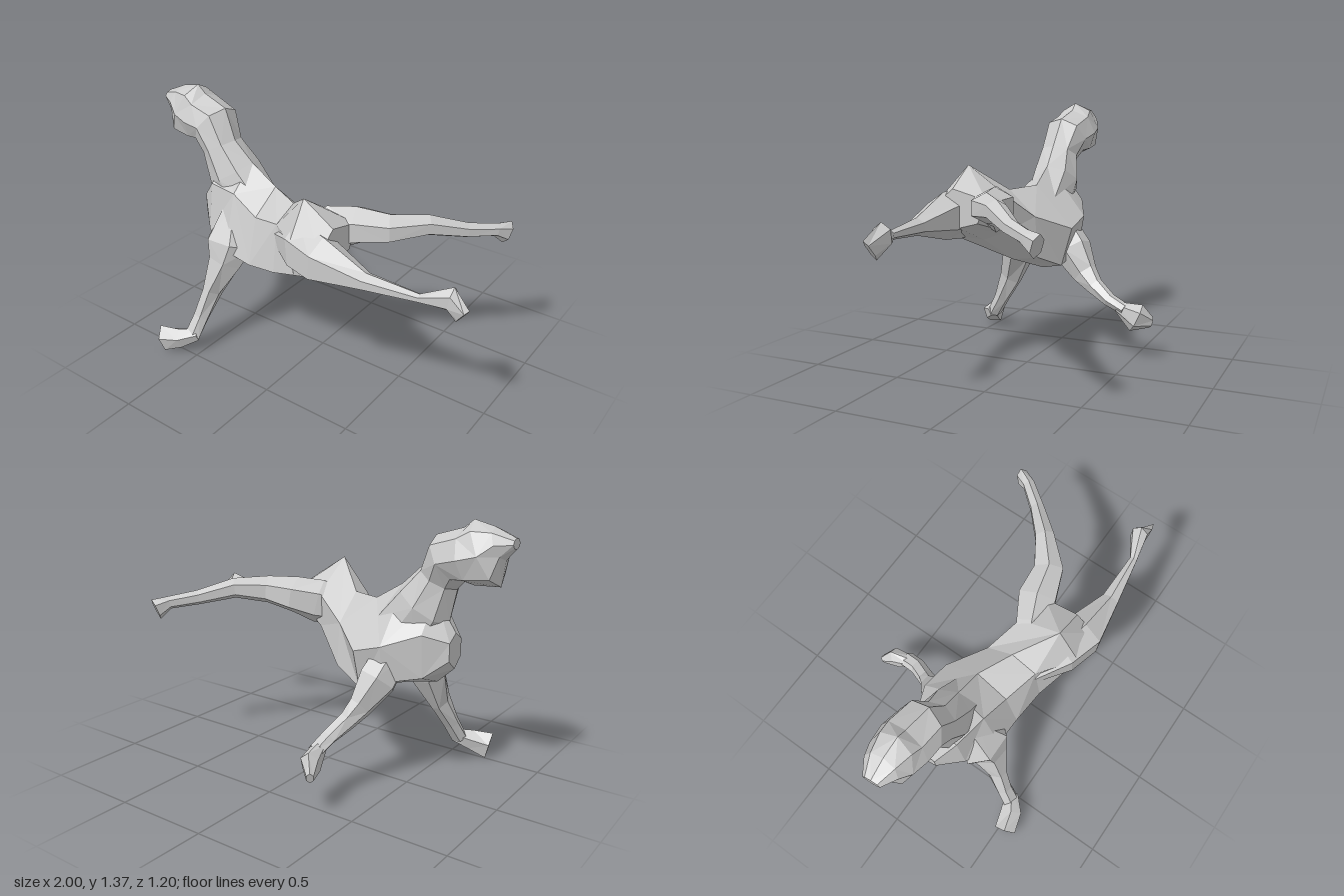
import * as THREE from 'three';

const material = new THREE.MeshStandardMaterial({ color: 0xcccccc, flatShading: true });

// Skin a list of closed rings (equal point counts) and cap both ends
function skin(name, rings) {
  const n = rings[0].length, pos = [];
  const tri = (a, b, c) => [a, b, c].forEach(p => pos.push(p.x, p.y, p.z));
  for (let r = 0; r < rings.length - 1; r++) {
    const A = rings[r], B = rings[r + 1];
    for (let i = 0; i < n; i++) {
      const j = (i + 1) % n;
      if ((i + r) % 2) {
        tri(A[i], A[j], B[j]);
        tri(A[i], B[j], B[i]);
      } else {
        tri(A[i], A[j], B[i]);
        tri(A[j], B[j], B[i]);
      }
    }
  }
  const first = rings[0], last = rings[rings.length - 1];
  for (let i = 1; i < n - 1; i++) {
    tri(first[0], first[i + 1], first[i]);
    tri(last[0], last[i], last[i + 1]);
  }
  const g = new THREE.BufferGeometry();
  g.setAttribute('position', new THREE.Float32BufferAttribute(pos, 3));
  g.computeVertexNormals();
  const mesh = new THREE.Mesh(g, material);
  mesh.name = name;
  return mesh;
}

// Elliptical limb: stations [x, y, z, radius along ref, radius across ref]
function limb(name, ref, stations, sides = 6) {
  const c = stations.map(s => new THREE.Vector3(s[0], s[1], s[2]));
  return skin(name, stations.map((s, k) => {
    const t = c[Math.min(k + 1, c.length - 1)].clone().sub(c[Math.max(k - 1, 0)]).normalize();
    const u = ref.clone().addScaledVector(t, -ref.dot(t)).normalize();
    const v = t.clone().cross(u);
    return Array.from({ length: sides }, (_, i) => {
      const a = (i / sides) * Math.PI * 2;
      return c[k].clone().addScaledVector(u, s[3] * Math.cos(a)).addScaledVector(v, s[4] * Math.sin(a));
    });
  }));
}

export function createModel() {
  const group = new THREE.Group();
  group.name = 'runningAnimal';
  const X = new THREE.Vector3(1, 0, 0), Y = new THREE.Vector3(0, 1, 0), Z = new THREE.Vector3(0, 0, 1);

  // Torso sections: x, then [y, z] for top, near upper, near lower, bottom, far lower, far upper
  const torso = [
    [-0.71, [0.82, 0.06], [0.78, 0.12], [0.69, 0.12], [0.64, 0.06], [0.69, 0.0], [0.78, 0.0]],
    [-0.6, [0.99, 0.05], [0.9, 0.18], [0.64, 0.22], [0.54, 0.1], [0.6, -0.06], [0.82, -0.08]],
    [-0.42, [1.03, 0.06], [0.9, 0.21], [0.6, 0.3], [0.5, 0.1], [0.56, -0.13], [0.75, -0.16]],
    [-0.26, [0.93, 0.06], [0.82, 0.23], [0.57, 0.3], [0.47, 0.02], [0.49, -0.09], [0.7, -0.15]],
    [-0.08, [0.92, 0.14], [0.86, 0.28], [0.6, 0.32], [0.54, 0.12], [0.56, -0.03], [0.78, -0.01]],
    [0.1, [1.06, 0.29], [0.87, 0.41], [0.68, 0.38], [0.67, 0.2], [0.72, 0.07], [0.9, 0.06]],
    [0.27, [0.95, 0.29], [0.86, 0.4], [0.72, 0.38], [0.75, 0.26], [0.78, 0.15], [0.9, 0.1]],
  ];
  group.add(skin('torso', torso.map(([x, ...p]) => p.map(([y, z]) => new THREE.Vector3(x, y, z)))));

  // Neck and head
  group.add(limb('neckAndHead', Z, [
    [-0.42, 0.78, 0.06, 0.12, 0.18],
    [-0.54, 0.94, 0.06, 0.13, 0.155],
    [-0.61, 1.08, 0.07, 0.11, 0.105],
    [-0.67, 1.18, 0.05, 0.13, 0.13],
    [-0.77, 1.2, 0.04, 0.135, 0.135],
    [-0.86, 1.225, 0.04, 0.12, 0.165],
    [-0.92, 1.275, 0.04, 0.09, 0.08],
    [-0.993, 1.28, 0.045, 0.045, 0.025],
  ], 8));

  // Front legs and paws
  group.add(limb('frontLeftLeg', X, [
    [-0.47, 0.8, 0.14, 0.06, 0.06],
    [-0.45, 0.61, 0.23, 0.15, 0.11],
    [-0.46, 0.51, 0.26, 0.1, 0.095],
    [-0.5, 0.34, 0.335, 0.045, 0.07],
    [-0.53, 0.2, 0.41, 0.045, 0.045],
    [-0.55, 0.1, 0.47, 0.05, 0.04],
  ]));
  group.add(limb('frontLeftPaw', Y, [
    [-0.52, 0.11, 0.46, 0.035, 0.035],
    [-0.6, 0.085, 0.51, 0.055, 0.06],
    [-0.7, 0.06, 0.54, 0.077, 0.06],
  ], 5));
  group.add(limb('frontRightLeg', X, [
    [-0.42, 0.72, 0.0, 0.09, 0.09],
    [-0.38, 0.56, -0.11, 0.1, 0.11],
    [-0.34, 0.44, -0.2, 0.055, 0.075],
    [-0.31, 0.38, -0.27, 0.045, 0.05],
    [-0.27, 0.32, -0.37, 0.045, 0.035],
    [-0.26, 0.28, -0.46, 0.045, 0.03],
  ]));
  group.add(limb('frontRightPaw', Y, [
    [-0.26, 0.29, -0.42, 0.03, 0.035],
    [-0.275, 0.235, -0.52, 0.08, 0.05],
    [-0.325, 0.205, -0.59, 0.03, 0.02],
  ], 6));

  // Hind legs, stretched backwards
  group.add(limb('hindLeftLeg', Y, [
    [-0.08, 0.77, 0.24, 0.06, 0.05],
    [0.1, 0.81, 0.32, 0.14, 0.1],
    [0.25, 0.805, 0.35, 0.125, 0.115],
    [0.5, 0.785, 0.36, 0.045, 0.05],
    [0.77, 0.785, 0.335, 0.022, 0.022],
    [0.9, 0.805, 0.285, 0.065, 0.048],
    [0.97, 0.75, 0.305, 0.06, 0.015],
  ]));
  group.add(limb('hindRightLeg', Y, [
    [0.0, 0.8, 0.18, 0.08, 0.06],
    [0.14, 0.84, 0.11, 0.12, 0.09],
    [0.26, 0.87, 0.06, 0.1, 0.11],
    [0.42, 0.885, 0.02, 0.075, 0.085],
    [0.56, 0.895, -0.1, 0.055, 0.055],
    [0.7, 0.85, -0.24, 0.04, 0.04],
    [0.8, 0.83, -0.36, 0.035, 0.035],
    [0.835, 0.8, -0.425, 0.06, 0.035],
  ]));
  return group;
}
